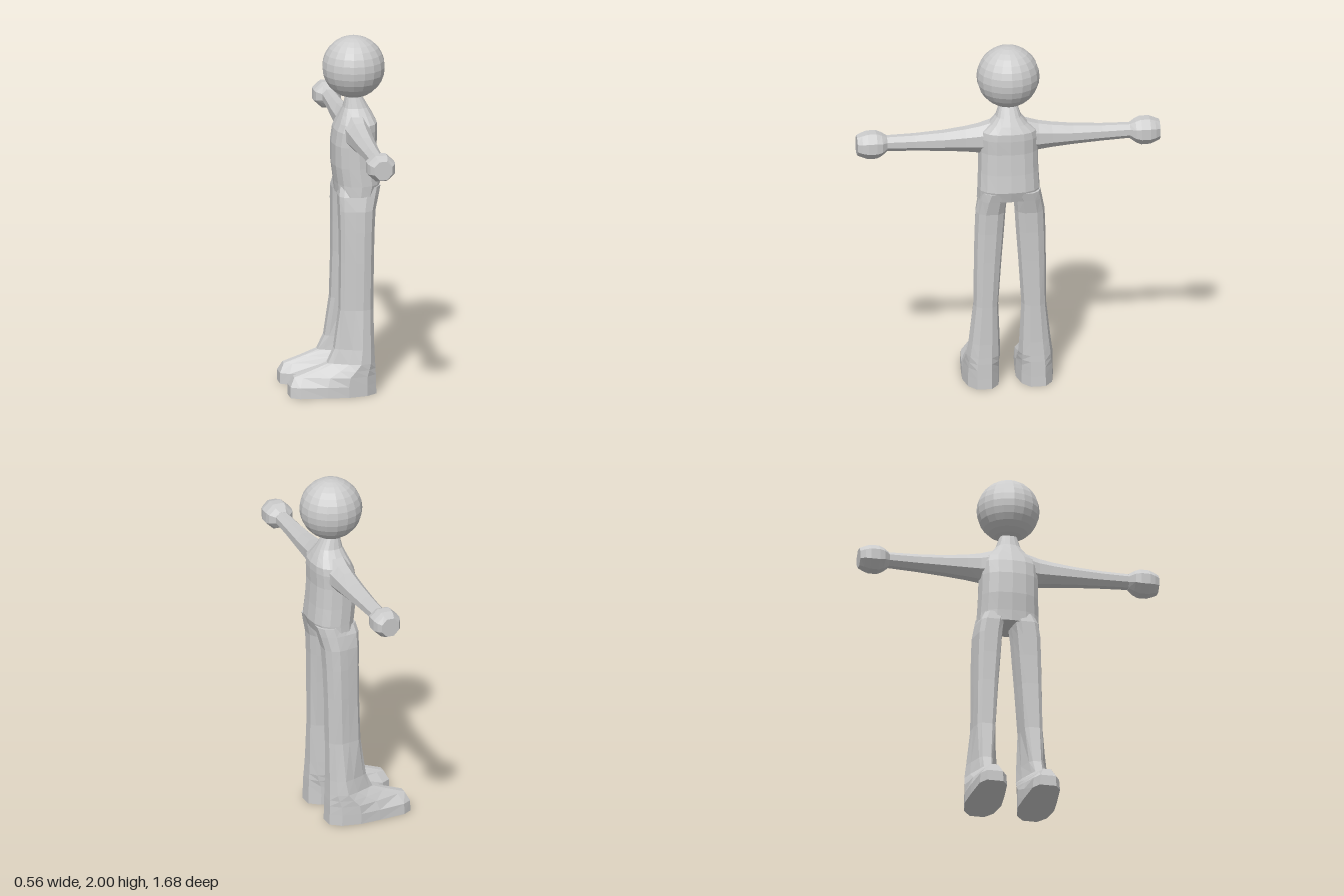
import * as THREE from 'three';

const material = new THREE.MeshStandardMaterial({ color: 0xcccccc, flatShading: true });

// Skin a series of equal-length rings and close both ends
function loft(name, rings) {
  const n = rings[0].length;
  const pos = rings.flat(2);
  const idx = [];
  for (let r = 0; r < rings.length - 1; r++) {
    for (let i = 0; i < n; i++) {
      const j = (i + 1) % n, a = r * n, b = a + n;
      idx.push(a + i, b + i, b + j, a + i, b + j, a + j);
    }
  }
  const top = (rings.length - 1) * n;
  for (let i = 1; i < n - 1; i++) {
    idx.push(0, i, i + 1, top, top + i + 1, top + i);
  }
  const geometry = new THREE.BufferGeometry();
  geometry.setAttribute('position', new THREE.Float32BufferAttribute(pos, 3));
  geometry.setIndex(idx);
  geometry.computeVertexNormals();
  const mesh = new THREE.Mesh(geometry, material);
  mesh.name = name;
  return mesh;
}

const soft = (v, p) => Math.sign(v) * Math.abs(v) ** p;

// Rounded-box torso section: height, front x, back x, half width
function torsoRing([y, x0, x1, hz]) {
  return Array.from({ length: 16 }, (_, i) => {
    const a = (i / 16) * Math.PI * 2;
    return [(x0 + x1) / 2 + (x1 - x0) / 2 * soft(Math.cos(a), 0.8), y, hz * soft(Math.sin(a), 0.8)];
  });
}

// Leg section: height, front x, back x, inner z, outer z, toe half width
function legRing([y, x0, x1, z0, z1, toe]) {
  const L = x1 - x0, c = (z0 + z1) / 2, w = (z1 - z0) / 2;
  const half = [
    [x1, w * 0.4], [x1 - L * 0.12, w * 0.82], [x1 - L * 0.34, w],
    [x0 + L * 0.42, (w * 1.3 + toe * 0.7) / 2], [x0 + L * 0.1, toe], [x0, toe * 0.6],
  ];
  return [
    ...half.map(([x, h]) => [x, y, c + h]),
    ...half.slice().reverse().map(([x, h]) => [x, y, c - h]),
  ];
}

// Octagonal arm section: z, centre height, half depth, half height
function armRing([z, y, rx, ry]) {
  return Array.from({ length: 8 }, (_, i) => {
    const a = ((i + 0.5) / 8) * Math.PI * 2, k = 1 / Math.cos(Math.PI / 8);
    return [0.105 + rx * k * Math.cos(a), y - ry * k * Math.sin(a), z];
  });
}

export function createModel() {
  const model = new THREE.Group();
  model.name = 'standingFigure';

  // Head
  const head = new THREE.Mesh(new THREE.SphereGeometry(0.174, 18, 14), material);
  head.name = 'head';
  head.position.set(0.105, 1.826, 0);
  model.add(head);

  // Torso, shoulders and neck
  model.add(loft('torso', [
    [1.12, 0.0, 0.225, 0.175],
    [1.18, -0.005, 0.245, 0.173],
    [1.28, -0.018, 0.235, 0.168],
    [1.4, -0.02, 0.227, 0.165],
    [1.48, -0.008, 0.23, 0.165],
    [1.52, 0.01, 0.228, 0.155],
    [1.56, 0.028, 0.208, 0.105],
    [1.6, 0.046, 0.185, 0.07],
    [1.66, 0.06, 0.15, 0.05],
    [1.7, 0.062, 0.148, 0.045],
  ].map(torsoRing)));

  const legs = new THREE.Group();
  legs.name = 'legs';
  legs.position.z = -0.007;
  model.add(legs);

  for (const side of [1, -1]) {
    // Leg with flared ankle and long foot
    const leg = loft(side > 0 ? 'nearLeg' : 'farLeg', [
      [0, -0.285, 0.197, 0.046, 0.252, 0.077],
      [0.06, -0.285, 0.195, 0.046, 0.252, 0.072],
      [0.11, -0.26, 0.194, 0.047, 0.25, 0.035],
      [0.145, -0.16, 0.193, 0.048, 0.245, 0.033],
      [0.18, -0.07, 0.191, 0.05, 0.24, 0.035],
      [0.26, -0.032, 0.188, 0.054, 0.228, 0.04],
      [0.48, 0.0, 0.186, 0.064, 0.202, 0.05],
      [0.75, 0.006, 0.19, 0.046, 0.2, 0.055],
      [0.92, 0.005, 0.195, 0.033, 0.197, 0.06],
      [1.04, 0.002, 0.202, 0.025, 0.192, 0.063],
      [1.12, 0.0, 0.222, 0.018, 0.176, 0.062],
      [1.17, 0.01, 0.235, -0.01, 0.165, 0.06],
    ].map(legRing));
    leg.scale.z = side;
    legs.add(leg);

    // Tapered arm, rooted inside the shoulder
    const arm = loft(side > 0 ? 'nearArm' : 'farArm', [
      [0.05, 1.475, 0.08, 0.1],
      [0.11, 1.471, 0.075, 0.088],
      [0.165, 1.466, 0.066, 0.077],
      [0.24, 1.464, 0.06, 0.066],
      [0.36, 1.462, 0.054, 0.054],
      [0.52, 1.462, 0.045, 0.045],
      [0.69, 1.464, 0.04, 0.04],
    ].map(armRing));
    arm.scale.z = side;
    model.add(arm);

    // Faceted fist
    const hand = loft(side > 0 ? 'nearHand' : 'farHand', [
      [0.675, 1.463, 0.042, 0.042],
      [0.705, 1.461, 0.07, 0.06],
      [0.735, 1.46, 0.077, 0.073],
      [0.785, 1.46, 0.077, 0.072],
      [0.815, 1.46, 0.068, 0.062],
      [0.842, 1.46, 0.05, 0.052],
    ].map(armRing));
    hand.scale.z = side;
    model.add(hand);
  }
  return model;
}
